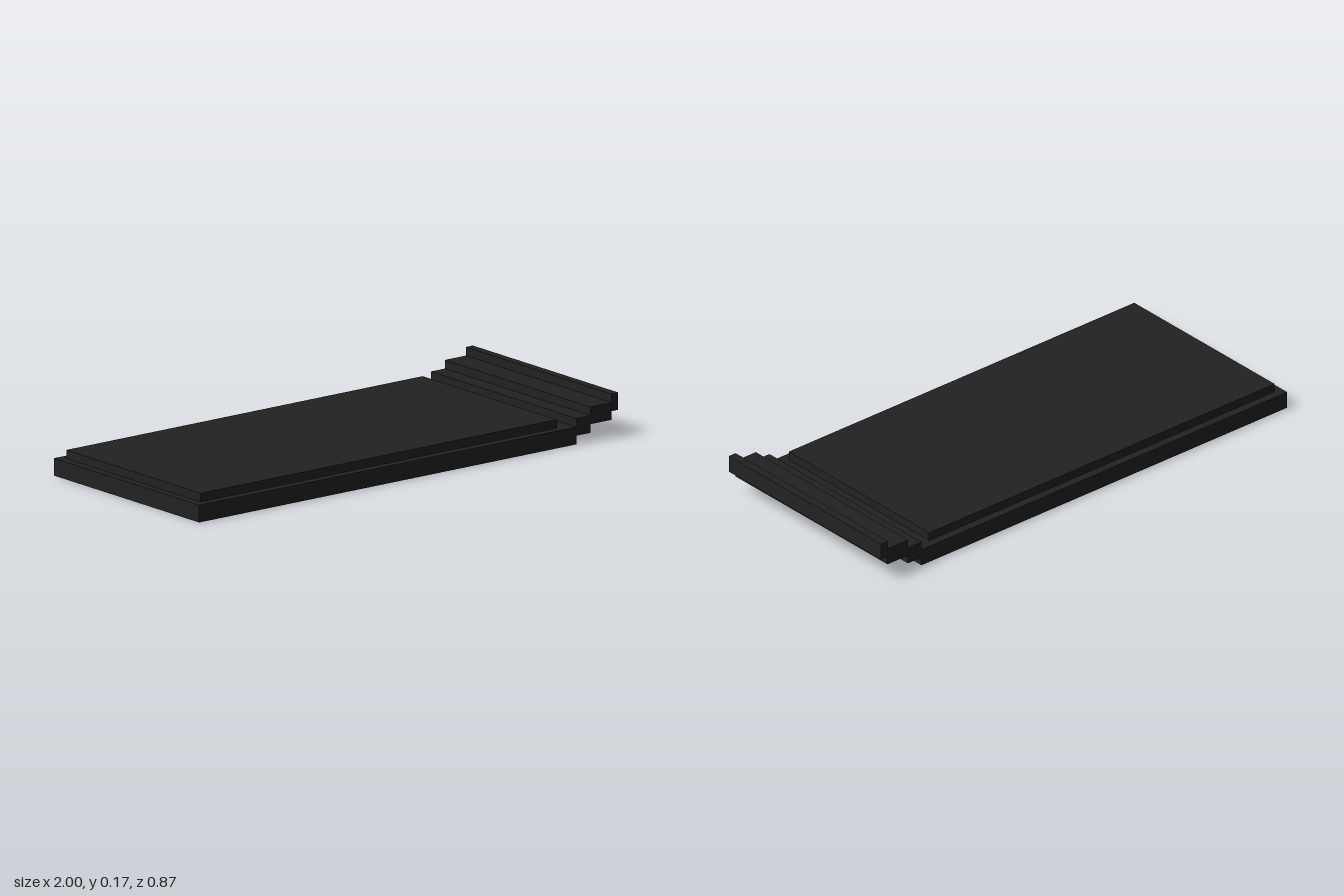
import * as THREE from 'three';

const U = 1 / 30; // modelling grid unit

export function createModel() {
  const model = new THREE.Group();
  model.name = 'steppedSlab';
  const charcoal = new THREE.MeshStandardMaterial({ color: 0x222222 });
  charcoal.name = 'charcoal';

  // Box given by its x and y ranges and half depth, in grid units
  const addBlock = (name, x0, x1, y0, y1, halfDepth) => {
    const geometry = new THREE.BoxGeometry((x1 - x0) * U, (y1 - y0) * U, 2 * halfDepth * U);
    const mesh = new THREE.Mesh(geometry, charcoal);
    mesh.name = name;
    mesh.position.set(((x0 + x1) / 2) * U, ((y0 + y1) / 2) * U, 0);
    model.add(mesh);
  };

  // Main slab with a slightly inset raised panel
  addBlock('baseSlab', -30, 24, 0, 2, 13);
  addBlock('raisedPanel', -29, 22, 2, 3, 12);

  // Lip climbing in steps at the left end
  addBlock('lowerStep', 24, 26, 1, 3, 13);
  addBlock('middleStep', 26, 29, 2, 4, 13);
  addBlock('upperStep', 29, 30, 3, 5, 13);

  return model;
}
